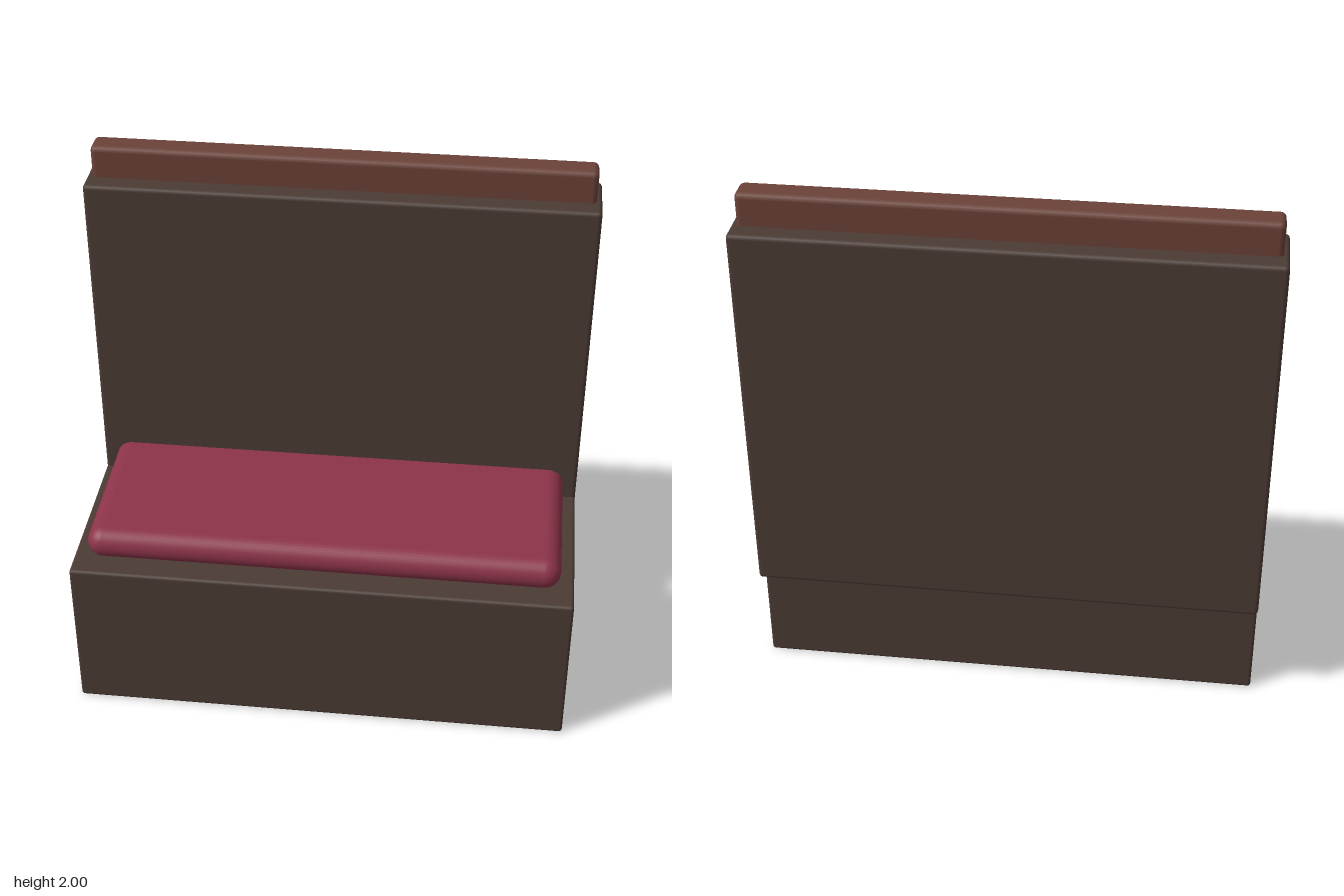
import * as THREE from 'three';
import { RoundedBoxGeometry } from 'three/addons/geometries/RoundedBoxGeometry.js';

const paint = (color) => new THREE.MeshStandardMaterial({ color });

// Rounded block centred on x, spanning the given y and z ranges
function block(name, width, [y0, y1], [z0, z1], radius, segments, material) {
  const geometry = new RoundedBoxGeometry(width, y1 - y0, z1 - z0, segments, radius);
  const mesh = new THREE.Mesh(geometry, material);
  mesh.name = name;
  mesh.position.set(0, (y0 + y1) / 2, (z0 + z1) / 2);
  return mesh;
}

export function createModel() {
  const group = new THREE.Group();
  group.name = 'boothBench';

  const darkWood = paint(0x4b3b34);
  const redWood = paint(0x6b4238);
  const fabric = paint(0x8c3349);

  group.add(
    // Solid plinth and the tall backrest that overhangs it at the rear
    block('base', 1.87, [0, 0.625], [-0.37, 0.457], 0.012, 2, darkWood),
    block('backrest', 1.87, [0.425, 1.88], [-0.457, -0.21], 0.015, 2, darkWood),
    // Pillowed seat, its rear edge tucked into the backrest
    block('seatCushion', 1.765, [0.627, 0.75], [-0.3, 0.393], 0.061, 4, fabric),
    // Trim rail set into the top of the backrest
    block('topRail', 1.83, [1.85, 2], [-0.385, -0.283], 0.02, 2, redWood),
  );
  return group;
}
